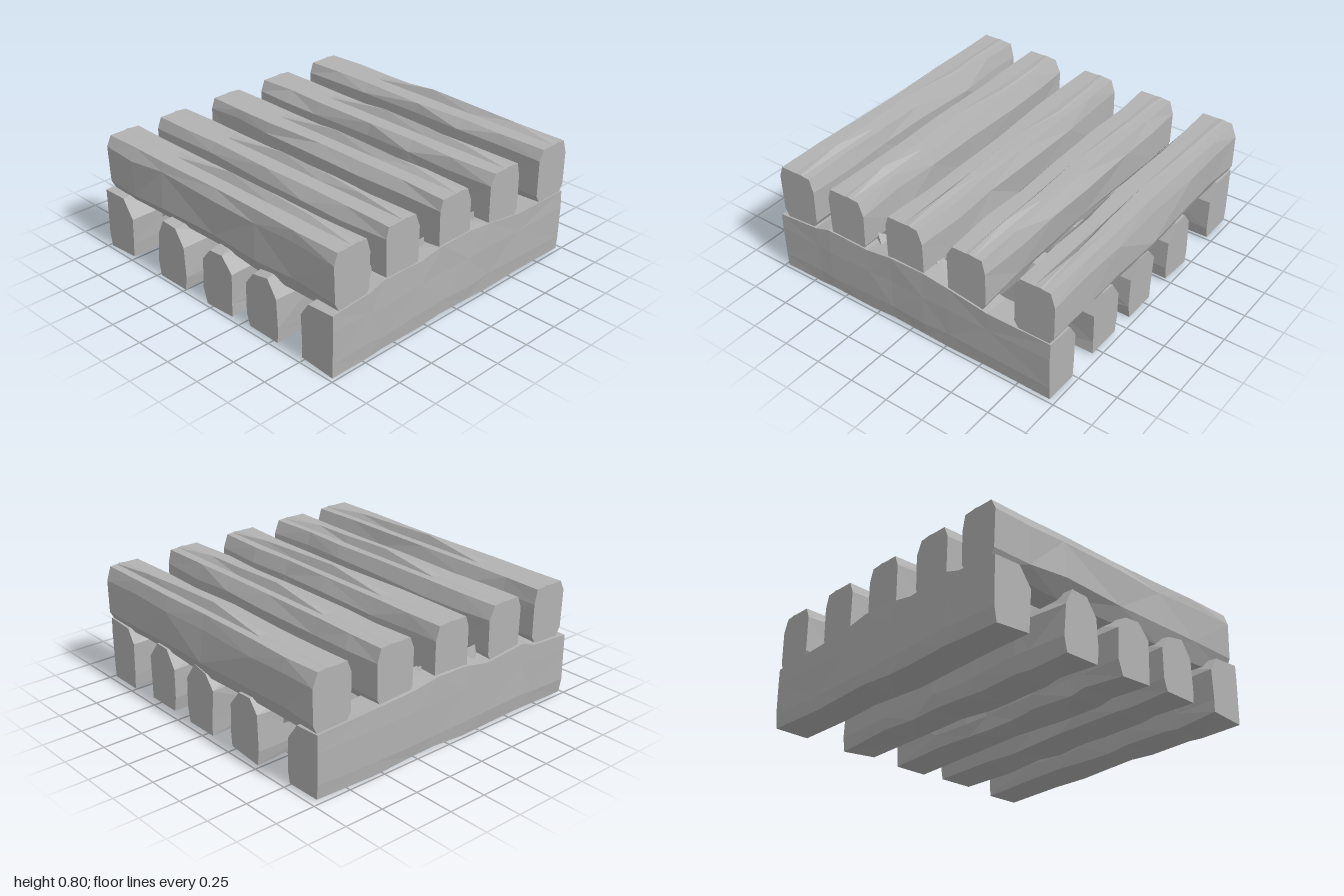
import * as THREE from 'three';

// Small seeded generator for the rough-hewn surface
function seeded(seed) {
  let s = seed * 7919 + 17;
  return () => {
    s = (s * 16807) % 2147483647;
    return (s / 2147483647) * 2 - 1;
  };
}

// Faceted geometry with one normal per face
function faceted(points, faces) {
  const g = new THREE.BufferGeometry();
  g.setAttribute('position', new THREE.Float32BufferAttribute(points.flat(), 3));
  g.setIndex(faces);
  const flat = g.toNonIndexed();
  flat.computeVertexNormals();
  return flat;
}

// Beam along z: counter-clockwise rings of [x, y], joined and capped
function loft(stations, ringAt) {
  const points = [], faces = [];
  let n = 0;
  stations.forEach((z, i) => {
    const ring = ringAt(z, i);
    n = ring.length;
    ring.forEach(([x, y]) => points.push([x, y, z]));
  });
  for (let i = 0; i < stations.length - 1; i++) {
    for (let j = 0; j < n; j++) {
      const a = i * n + j, b = i * n + (j + 1) % n, c = a + n, d = b + n;
      if ((i + j) % 2) faces.push(a, b, d, a, d, c);
      else faces.push(a, b, c, b, d, c);
    }
  }
  const last = (stations.length - 1) * n;
  for (let j = 1; j < n - 1; j++) {
    faces.push(0, j + 1, j, last, last + j, last + j + 1);
  }
  return faceted(points, faces);
}

// Upper beam with chamfered top, tapered foot and a slim raised splinter
function upperBeam(seed) {
  const r = seeded(seed);
  const stations = [-0.97, -0.72, -0.45, 0, 0.35, 0.65, 0.975];
  const ridge = [0.752, 0.752, 0.752, 0.8, 0.79, 0.778, 0.752];
  return loft(stations, (z, i) => {
    const k = i === 0 || i === 6 ? 0.3 : 1;
    const j = (x, y) => [x + r() * 0.014 * k, y + r() * 0.014 * k];
    return [
      j(-0.07, 0.355), j(0.08, 0.36), j(0.128, 0.45), j(0.13, 0.66),
      [0.1 + r() * 0.01, 0.745], [0.055, 0.748], [0.03 + r() * 0.015, ridge[i]], [0.0, 0.748],
      [-0.1 + r() * 0.012, 0.747], j(-0.128, 0.68), j(-0.125, 0.45),
    ];
  });
}

// Lower beam; its top swells slightly beside the crossings
function lowerBeam(seed, outer) {
  const r = seeded(seed);
  const stations = [-0.98, -0.7, -0.6, -0.3, -0.13, 0.1, 0.28, 0.55, 0.965];
  const tops = [0.4, 0.43, 0.46, 0.44, 0.47, 0.475, 0.45, 0.42, 0.41];
  // outer: 1 = sheer front face, -1 = sheer back face, 0 = inner beam
  const front = outer === 1 ? -0.12 : -0.045;
  const back = outer === -1 ? 0.12 : 0.06;
  return loft(stations, (z, i) => {
    const top = outer ? tops[i] : Math.min(tops[i], 0.43);
    const j = (x, y, k = 1) => [x + r() * 0.01 * k, Math.max(0, y + r() * 0.012)];
    const f = outer === 1 ? 0.3 : 1, b = outer === -1 ? 0.3 : 1;
    return [
      j(-0.115, 0.012, f), j(0.11, 0.012, b), j(0.122, 0.1, b), j(0.122, 0.3, b),
      j(back, top - 0.015, b), j(front, top - 0.01, f), j(-0.122, 0.29, f), j(-0.122, 0.1, f),
    ];
  }).rotateY(Math.PI / 2);
}

// Solid four-cornered web between crossing beams
function web(a, b, c, d) {
  const [A, B, C, D] = [a, b, c, d].map((p) => new THREE.Vector3(...p));
  const inside = B.clone().sub(A).cross(C.clone().sub(A)).dot(D.clone().sub(A)) > 0;
  const faces = inside
    ? [0, 2, 1, 0, 1, 3, 1, 2, 3, 2, 0, 3]
    : [0, 1, 2, 0, 3, 1, 1, 3, 2, 2, 3, 0];
  return faceted([a, b, c, d], faces);
}

export function createModel() {
  const model = new THREE.Group();
  const grey = new THREE.MeshStandardMaterial({ color: 0xb2b2b2 });
  grey.name = 'plain grey';
  const add = (name, geometry, x = 0, z = 0) => {
    const mesh = new THREE.Mesh(geometry, grey);
    mesh.name = name;
    mesh.position.set(x, 0, z);
    model.add(mesh);
  };

  // Five cross beams on the ground
  [0.865, 0.435, 0.055, -0.365, -0.868].forEach((z, i) => {
    add('lowerBeam' + (i + 1), lowerBeam(i + 3, i === 0 ? 1 : i === 4 ? -1 : 0), 0, z);
  });

  // Five beams laid across them
  [-0.83, -0.452, -0.022, 0.405, 0.85].forEach((x, i) => {
    add('upperBeam' + (i + 1), upperBeam(i + 21), x, 0);
  });

  // Webs in the corners of the crossings: [beam edge x, side reach, wall z, far z]
  [
    [0.74, -0.2, -0.48, -0.75], [-0.71, 0.15, -0.76, -0.5],
    [0.73, -0.15, 0.32, 0.17], [-0.33, 0.17, 0.32, 0.22],
    [-0.71, 0.12, 0.32, 0.19], [0.1, 0.15, -0.46, -0.3],
  ].forEach(([x, reach, wall, far], i) => {
    const deep = x - Math.sign(reach) * 0.05;
    add('cornerWeb' + (i + 1), web(
      [x, 0.38, far], [x + reach, 0.36, wall], [deep, 0.2, wall], [deep, 0.42, wall],
    ));
  });

  // Sloping shoulders where the outer lower beams meet the upper ones
  for (const z of [0.86, -0.86]) {
    [[-0.57, -0.1], [-0.33, 0.12], [-0.15, -0.12], [0.1, 0.14], [0.28, -0.1]].forEach(([x, d], i) => {
      add('shoulder' + (i + 1), web(
        [x, 0.48, z], [x + d, 0.41, z + 0.08], [x + d * 0.8, 0.41, z - 0.08], [x - d * 0.3, 0.36, z],
      ));
    });
  }
  return model;
}
